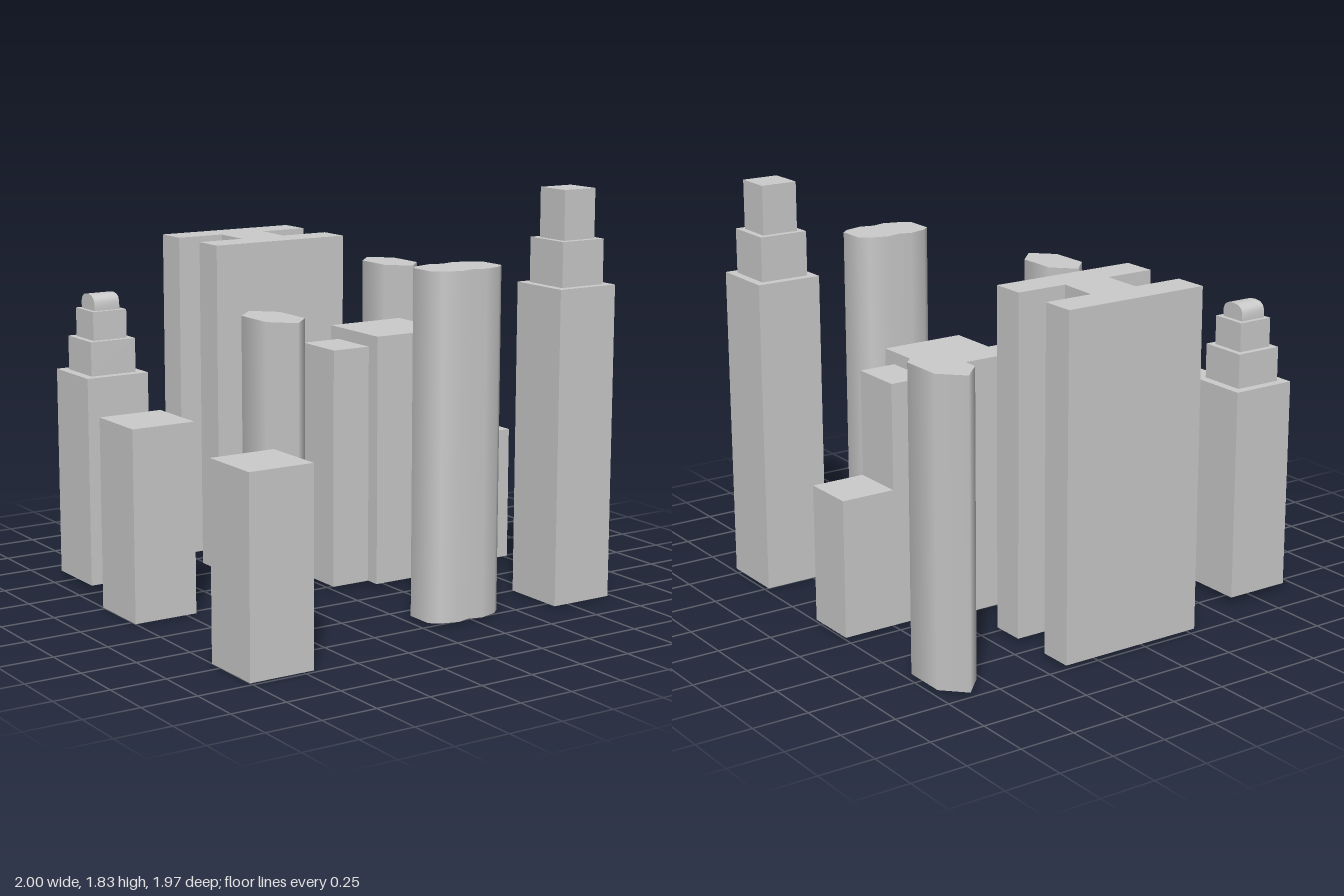
import * as THREE from 'three';
import { toCreasedNormals } from 'three/addons/utils/BufferGeometryUtils.js';

const material = new THREE.MeshStandardMaterial({ color: 0xcccccc });

function add(parent, name, geometry) {
  const mesh = new THREE.Mesh(geometry, material);
  mesh.name = name;
  parent.add(mesh);
  return mesh;
}

// Block given by its limits on each axis
function block(parent, name, [x0, x1], [y0, y1], [z0, z1]) {
  const mesh = add(parent, name, new THREE.BoxGeometry(x1 - x0, y1 - y0, z1 - z0));
  mesh.position.set((x0 + x1) / 2, (y0 + y1) / 2, (z0 + z1) / 2);
}

// Square tiers stacked on one centre; each tier is [width, top]
function steppedTower(parent, name, x, z, base, tiers) {
  const tower = new THREE.Group();
  tower.name = name;
  parent.add(tower);
  let y = base;
  tiers.forEach(([w, top], i) => {
    block(tower, `${name}Tier${i + 1}`, [x - w / 2, x + w / 2], [y, top], [z - w / 2, z + w / 2]);
    y = top;
  });
  return tower;
}

// Smooth-sided upright prism: a cylinder whose rim is moved onto an outline of
// [x, z] points, which run from +z towards +x
function prism(parent, name, outline, x, z, y0, y1) {
  const n = outline.length;
  const geo = new THREE.CylinderGeometry(1, 1, y1 - y0, n);
  const pos = geo.attributes.position, normal = geo.attributes.normal;
  for (let i = 0; i < pos.count; i++) {
    const px = pos.getX(i), pz = pos.getZ(i);
    if (Math.hypot(px, pz) < 0.5) continue;
    const k = (Math.round(Math.atan2(px, pz) / (2 * Math.PI) * n) + n) % n;
    pos.setX(i, outline[k][0]);
    pos.setZ(i, outline[k][1]);
    if (Math.abs(normal.getY(i)) < 0.5) {
      const a = outline[(k + n - 1) % n], b = outline[(k + 1) % n];
      const side = new THREE.Vector3(a[1] - b[1], 0, b[0] - a[0]).normalize();
      normal.setXYZ(i, side.x, 0, side.z);
    }
  }
  add(parent, name, geo).position.set(x, (y0 + y1) / 2, z);
}

function extrude(points, depth) {
  const shape = new THREE.Shape(points.map(([x, y]) => new THREE.Vector2(x, y)));
  return new THREE.ExtrudeGeometry(shape, { depth, bevelEnabled: false });
}

export function createModel() {
  const city = new THREE.Group();
  city.name = 'cityBlock';

  // Two plain low blocks on the right-hand edge
  block(city, 'frontBlock', [-1, -0.7], [0, 0.855], [0.68, 0.98]);
  block(city, 'middleBlock', [-1, -0.7], [0, 0.855], [-0.27, 0.03]);

  // Two pointed six-sided towers
  const hexagon = [[0, 0.195], [0.095, 0.098], [0.095, -0.098], [0, -0.195], [-0.095, -0.098], [-0.095, 0.098]];
  prism(city, 'frontHexTower', hexagon, -0.513, 0.376, 0.01, 1.34);
  prism(city, 'backHexTower', hexagon, 0.88, -0.785, 0.01, 1.34);

  // Lobed tower: one quarter of the outline, mirrored twice
  const quarter = [[0, 0.105], [0.062, 0.123], [0.147, 0.098], [0.184, 0.064]];
  const lower = quarter.slice().reverse().map(([x, z]) => [x, -z]);
  const half = [...quarter, ...lower];
  const other = half.slice(1, -1).reverse().map(([x, z]) => [-x, z]);
  prism(city, 'lobedTower', [...half, ...other], 0.226, 0.664, 0.01, 1.53);

  // H-plan slab tower, drawn in plan (x, -z) and raised
  const hPlan = [
    [-0.28, 0.485], [0.405, 0.485], [0.405, 0.64], [0.17, 0.64], [0.18, 0.83], [0.405, 0.83],
    [0.405, 0.985], [-0.28, 0.985], [-0.28, 0.83], [-0.05, 0.83], [-0.055, 0.64], [-0.28, 0.64],
  ];
  const slab = add(city, 'hPlanTower', extrude(hPlan, 1.52));
  slab.rotation.x = -Math.PI / 2;
  slab.position.y = 0.01;

  // Stepped slab with a wide core and wings
  const slabGroup = new THREE.Group();
  slabGroup.name = 'wingedSlab';
  city.add(slabGroup);
  block(slabGroup, 'rightWing', [0.012, 0.2], [0.01, 1.097], [-0.21, 0.037]);
  block(slabGroup, 'core', [0.2, 0.582], [0.01, 1.152], [-0.272, 0.107]);
  block(slabGroup, 'leftWing', [0.582, 0.752], [0.01, 1.097], [-0.21, 0.037]);
  block(slabGroup, 'lowWing', [0.752, 1], [0.01, 0.627], [-0.21, 0.037]);

  // Stepped towers
  steppedTower(city, 'tallSteppedTower', 0.828, 0.65, 0, [[0.302, 1.41], [0.226, 1.61], [0.168, 1.83]]);
  const small = steppedTower(city, 'smallSteppedTower', -0.77, -0.682, 0.025,
    [[0.304, 0.975], [0.222, 1.13], [0.167, 1.26]]);

  // Rounded cap on the small tower, its section running along x
  const section = [
    [-0.062, 0], [0.062, 0], [0.062, 0.035], [0.054, 0.055], [0.035, 0.067], [0, 0.072],
    [-0.035, 0.067], [-0.054, 0.055], [-0.062, 0.035],
  ];
  const cap = add(small, 'roundedCap', toCreasedNormals(extrude(section, 0.125), 0.8));
  cap.rotation.y = Math.PI / 2;
  cap.position.set(-0.835, 1.26, -0.682);

  return city;
}
